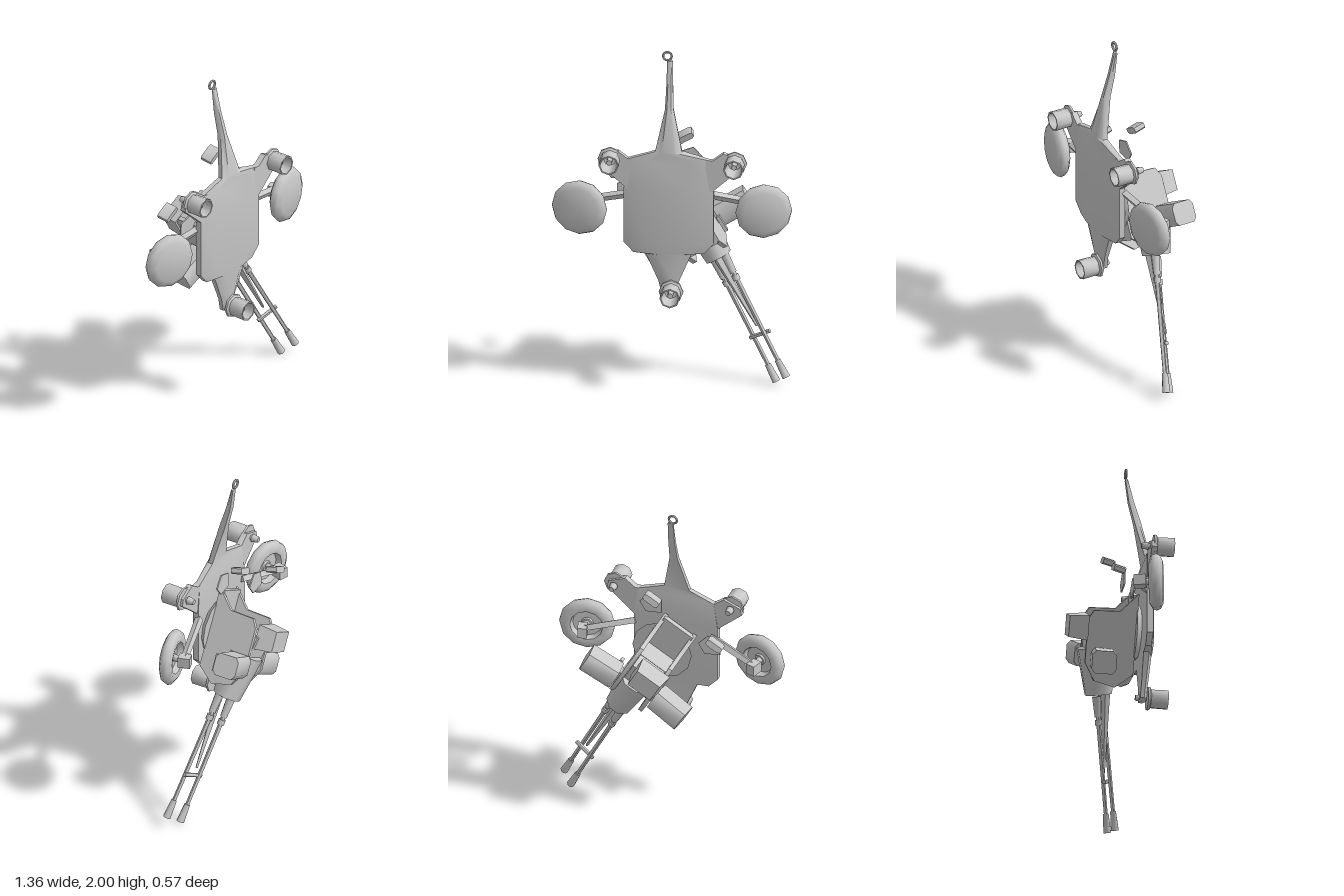
import * as THREE from 'three';
import { toCreasedNormals } from 'three/addons/utils/BufferGeometryUtils.js';

const grey = new THREE.MeshStandardMaterial({ color: 0xc8c8c8, side: THREE.DoubleSide });
grey.name = 'grey';

function add(parent, name, geo, pos = [0, 0, 0], rot = [0, 0, 0], crease = 0.6) {
  const m = new THREE.Mesh(toCreasedNormals(geo, crease), grey);
  m.name = name;
  m.position.set(...pos);
  m.rotation.set(...rot);
  parent.add(m);
  return m;
}
const box = (p, name, size, pos, rot) => add(p, name, new THREE.BoxGeometry(...size), pos, rot);

// Round bar between two points
function rod(parent, name, a, b, r0, r1 = r0, sides = 8) {
  const A = new THREE.Vector3(...a), B = new THREE.Vector3(...b), d = B.clone().sub(A);
  const m = add(parent, name, new THREE.CylinderGeometry(r1, r0, d.length(), sides), [0, 0, 0], [0, 0, 0], 0.9);
  m.position.copy(A).addScaledVector(d, 0.5);
  m.quaternion.setFromUnitVectors(new THREE.Vector3(0, 1, 0), d.normalize());
}

// Flat outline extruded along z from z0 with the given depth
function plate(parent, name, pts, z0, depth, pos, rot) {
  const s = new THREE.Shape(pts.map(p => new THREE.Vector2(...p)));
  const g = new THREE.ExtrudeGeometry(s, { depth, bevelEnabled: false }).translate(0, 0, z0);
  return add(parent, name, g, pos, rot, 0.8);
}

// Cambered shell lofted upwards through rows of [y, half width, back z, front z]
function loft(rows, cx) {
  const pos = [], idx = [];
  const section = [[-1, 0], [-1, 0.6], [-0.5, 1], [0.5, 1], [1, 0.6], [1, 0]], n = section.length;
  rows.forEach(([y, w, zb, zf]) => section.forEach(([u, t]) => pos.push(cx + u * w, y, zb + (zf - zb) * t)));
  for (let r = 0; r < rows.length - 1; r++)
    for (let i = 0; i < n; i++) {
      const a = r * n + i, b = r * n + (i + 1) % n;
      idx.push(a, b, a + n, b, b + n, a + n);
    }
  for (let i = 1; i < n - 1; i++) {
    const e = (rows.length - 1) * n;
    idx.push(0, i + 1, i, e, e + i, e + i + 1);
  }
  const g = new THREE.BufferGeometry();
  g.setAttribute('position', new THREE.Float32BufferAttribute(pos, 3));
  g.setIndex(idx);
  return g;
}

export function createModel() {
  const root = new THREE.Group();

  // Carriage plate with its tow arm
  add(root, 'carriagePlate', loft([
    [0.57, 0.04, 0.12, 0.16], [0.65, 0.06, 0.125, 0.165], [0.815, 0.13, 0.125, 0.18],
    [0.82, 0.2, 0.125, 0.18], [0.88, 0.255, 0.125, 0.185], [1.21, 0.255, 0.125, 0.185],
    [1.385, 0.23, 0.13, 0.18], [1.435, 0.076, 0.14, 0.185], [1.67, 0.024, 0.09, 0.13],
    [1.8, 0.019, 0.058, 0.09], [1.94, 0.016, 0.04, 0.055],
  ], -0.015), [0, 0, 0], [0, 0, 0], 0.7);
  add(root, 'towRing', new THREE.TorusGeometry(0.025, 0.007, 6, 10), [-0.03, 1.968, 0.042]);

  // Side lobes carrying the jacks
  for (const s of [1, -1])
    plate(root, 'jackLobe', [[0.2, 1.385], [0.24, 1.385], [0.3, 1.43], [0.4, 1.39], [0.41, 1.35],
      [0.33, 1.28], [0.24, 1.2], [0.2, 1.2]].map(([x, y]) => [s * x - 0.004, y]), 0.13, 0.035);

  // Levelling jacks: open octagonal cups with a flange and a knob behind
  const cup = [[0, 0.01], [0.035, 0.015], [0.05, 0.11], [0.058, 0.11], [0.056, 0.012], [0.07, 0.005],
    [0.07, -0.008], [0, -0.012]].map(p => new THREE.Vector2(...p));
  for (const [x, y, z] of [[-0.348, 1.38, 0.155], [0.36, 1.37, 0.155], [0, 0.59, 0.175]]) {
    const jack = new THREE.Group();
    jack.name = 'jack';
    jack.position.set(x, y, z);
    jack.rotation.x = Math.PI / 2;
    root.add(jack);
    add(jack, 'jackCup', new THREE.LatheGeometry(cup, 8), [0, 0, 0], [0, 0, 0], 0.9);
    rod(jack, 'jackStem', [0, 0.07, 0], [0, -0.05, 0], 0.016);
    rod(jack, 'jackKnob', [0, -0.035, 0], [0, -0.075, 0], 0.024, 0.016);
  }

  // Wheels turned slightly outwards, with recessed hubs behind, on swinging arms
  const tyre = [[0, -0.01], [0.03, -0.01], [0.035, 0.0], [0.085, 0.0], [0.095, -0.035], [0.125, -0.04],
    [0.155, -0.022], [0.162, 0], [0.152, 0.022], [0.12, 0.038], [0, 0.036]].map(p => new THREE.Vector2(...p));
  for (const s of [1, -1]) {
    add(root, 'wheel', new THREE.LatheGeometry(tyre, 12), [s * 0.523, 1.075, s > 0 ? 0.127 : 0.138],
      [Math.PI / 2, 0, s * -0.2], 1);
    const hub = [s * 0.52, 1.075, 0.045];
    box(root, 'hubBlock', [0.055, 0.065, 0.07], hub, [0, s * 0.3, 0]);
    rod(root, 'hubAxle', hub, [s * 0.523, 1.075, 0.13], 0.02);
    rod(root, 'wheelArm', [s * 0.23, 1.165, 0.125], [s * 0.52, 1.085, 0.05], 0.024, 0.022, 4);
  }

  // Gun mount: local y runs back along the barrels, local x runs across them
  const gun = new THREE.Group();
  gun.name = 'gunMount';
  gun.position.set(0.615, 0.04, 0);
  gun.rotation.z = 0.517;
  root.add(gun);

  // Turntable and pedestal on the plate
  add(gun, 'turntable', new THREE.CylinderGeometry(0.15, 0.18, 0.03, 12), [0, 1.13, 0.11], [Math.PI / 2, 0, 0]);
  box(gun, 'platform', [0.2, 0.46, 0.03], [0, 1.12, 0.085]);
  box(gun, 'pedestal', [0.18, 0.24, 0.14], [0, 1.02, 0.01]);

  // Two cradle side plates, given as [z, y]
  for (const s of [1, -1])
    plate(gun, 'cradleSide', [[0.1, 0.9], [0.0, 0.82], [-0.12, 0.85], [-0.18, 0.95], [-0.18, 1.2],
      [-0.15, 1.25], [0.0, 1.255], [0.1, 1.36]].map(([z, y]) => [-z, y]), -0.0125, 0.025,
      [s * 0.1, 0, 0], [0, Math.PI / 2, 0]);

  // Tapered gun housing with an eight sided section, receiver and breech block
  const housing = new THREE.CylinderGeometry(0.13, 0.095, 0.27, 8).rotateY(Math.PI / 8).scale(0.82, 1, 0.85);
  add(gun, 'housing', housing, [0.02, 0.9, -0.09], [-0.15, 0, 0], 0.9);
  box(gun, 'receiver', [0.17, 0.16, 0.1], [0, 1.08, -0.13], [-0.18, 0, 0]);
  add(gun, 'breech', new THREE.CylinderGeometry(0.1, 0.12, 0.11, 4).rotateY(Math.PI / 4)
    .rotateX(-Math.PI / 2).scale(1.1, 0.85, 1), [-0.03, 1.15, -0.23]);

  // Rounded ammunition boxes on both sides
  const round = [[-0.065, -0.05], [-0.04, -0.07], [0.04, -0.07], [0.065, -0.05], [0.065, 0.05], [0.04, 0.07],
    [-0.04, 0.07], [-0.065, 0.05]].map(([y, z]) => [z, y]);
  for (const [s, z] of [[1, -0.15], [-1, -0.09]]) {
    plate(gun, 'ammoBox', round, -0.1, 0.2, [s * 0.225, 0.975, z], [0, Math.PI / 2 + s * 0.1, 0]);
    box(gun, 'ammoBracket', [0.1, 0.09, 0.06], [s * 0.12, 0.98, z + 0.02]);
  }
  box(gun, 'sideRail', [0.02, 0.1, 0.03], [0.15, 0.95, -0.02]);

  // Seats and foot plates
  for (const s of [1, -1]) {
    plate(gun, 'seat', [[-0.05, -0.012], [-0.035, -0.02], [0.035, -0.02], [0.05, -0.012], [0.05, 0.012],
      [0.035, 0.018], [-0.035, 0.018], [-0.05, 0.012]], -0.034, 0.068, [s * 0.22, 1.505, -0.045], [0.25, 0, 0]);
    plate(gun, 'footPlate', [[-0.07, -0.03], [0.02, -0.06], [0.07, -0.01], [0.03, 0.06], [-0.05, 0.05]], 0, 0.008,
      [s * 0.205, 1.4, 0.042], [0.05, 0, -0.3]);
  }

  // Twin barrels with sleeves and flash hiders
  for (const [tip, rear] of [[[0.588, 0.012, 0.035], [0.23, 0.69, -0.085]], [[0.648, 0.058, 0.088], [0.285, 0.745, -0.045]]]) {
    const at = t => tip.map((v, i) => v + (rear[i] - v) * t);
    rod(root, 'barrel', rear, tip, 0.014, 0.011);
    rod(root, 'flashHider', at(0.14), tip, 0.017, 0.023);
    rod(root, 'barrelSleeve', rear, at(0.85), 0.026, 0.02);
    rod(root, 'barrelCollar', at(0.83), at(0.79), 0.021);
  }
  // Tapered brace and cross bar joining the barrels
  rod(root, 'brace', [0.24, 0.74, -0.03], [0.475, 0.33, -0.005], 0.026, 0.008, 4);
  rod(root, 'crossBar', [0.435, 0.255, -0.01], [0.55, 0.315, 0.03], 0.012);

  return root;
}
